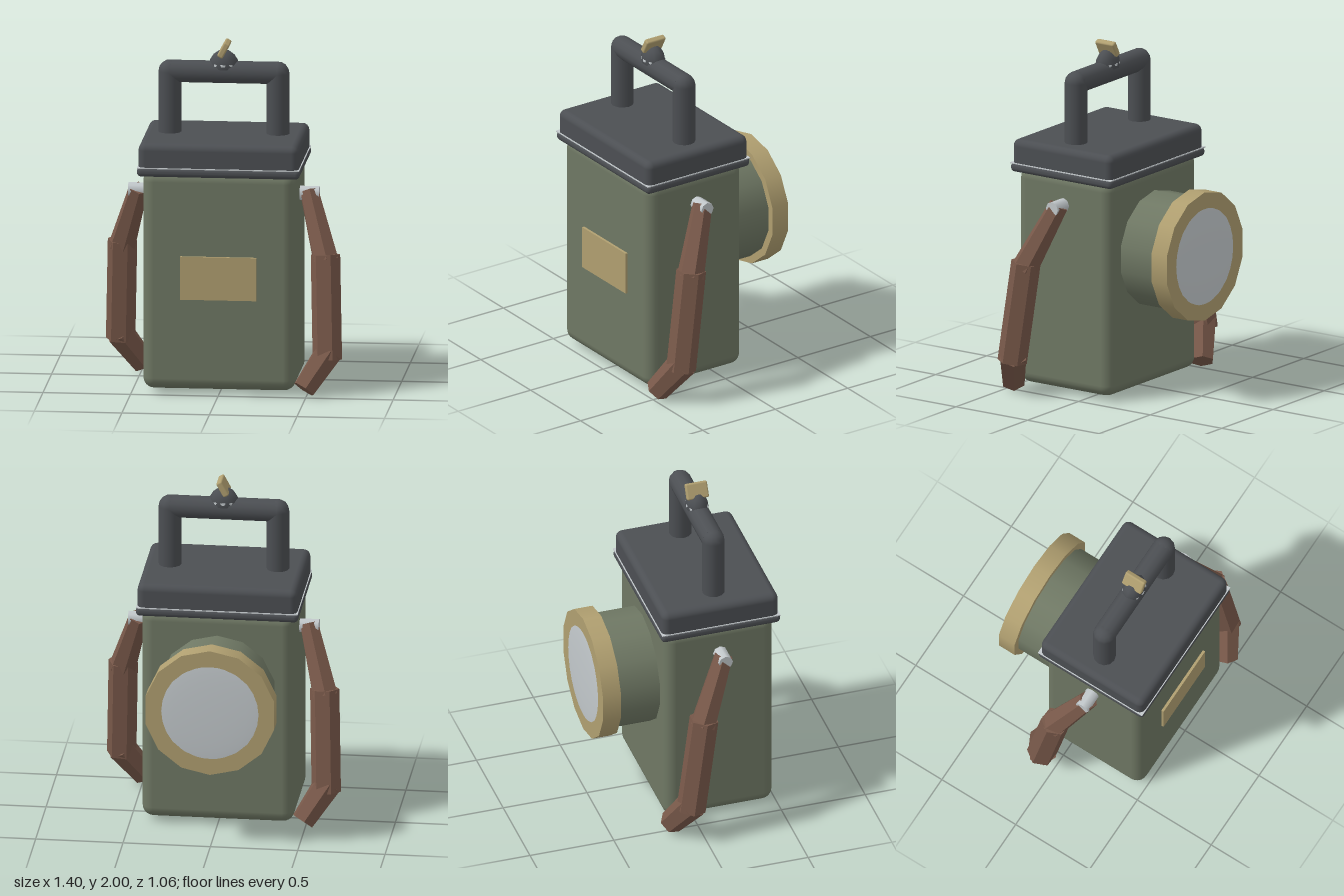
import * as THREE from 'three';
import { RoundedBoxGeometry } from 'three/addons/geometries/RoundedBoxGeometry.js';

const mat = (name, color, extra = {}) => {
  const m = new THREE.MeshStandardMaterial({ color, ...extra });
  m.name = name;
  return m;
};

export function createModel() {
  const sage = mat('sage paint', 0x6f7864);
  const dark = mat('dark metal', 0x4c4f53);
  const brass = mat('brass', 0xb09f70);
  const leather = mat('brown leather', 0x79594a, { flatShading: true });
  const silver = mat('silver', 0xc3c9cc);
  const midZ = 0.155; // centre of the case in depth

  const root = new THREE.Group();
  root.name = 'lantern';

  const add = (name, geometry, material, x = 0, y = 0, z = 0, parent = root) => {
    const mesh = new THREE.Mesh(geometry, material);
    mesh.name = name;
    mesh.position.set(x, y, z);
    parent.add(mesh);
    return mesh;
  };

  // Tapered cylinder between two points, running a little past both
  const rod = (name, a, b, ra, rb, sides, material, parent, extend = 0) => {
    const dir = b.clone().sub(a);
    const len = dir.length();
    const mid = a.clone().add(b).multiplyScalar(0.5);
    const mesh = add(name, new THREE.CylinderGeometry(rb, ra, len + extend * 2, sides), material, mid.x, mid.y, mid.z, parent);
    mesh.quaternion.setFromUnitVectors(new THREE.Vector3(0, 1, 0), dir.normalize());
    return mesh;
  };

  // Case, lid and rim
  add('case', new RoundedBoxGeometry(0.87, 1.27, 0.65, 3, 0.065), sage, 0, 0.665, midZ);
  add('lid', new RoundedBoxGeometry(0.915, 0.19, 0.695, 3, 0.04), dark, 0, 1.367, midZ);
  add('lidRim', new RoundedBoxGeometry(0.93, 0.055, 0.71, 3, 0.025), dark, 0, 1.298, midZ);
  add('rimSeal', new THREE.BoxGeometry(0.925, 0.006, 0.705), silver, 0, 1.322, midZ);
  add('namePlate', new THREE.BoxGeometry(0.435, 0.25, 0.018), brass, 0, 0.685, 0.486);

  // Carrying handle
  const handle = new THREE.Group();
  handle.name = 'handle';
  root.add(handle);
  const barY = 1.817, postX = 0.309, r = 0.065;
  for (const s of [-1, 1]) {
    add('handlePost', new THREE.CylinderGeometry(r, r, barY - 1.465, 12), dark, s * postX, (barY + 1.465) / 2, midZ, handle);
    add('handleCorner', new THREE.SphereGeometry(r, 12, 8), dark, s * postX, barY, midZ, handle);
  }
  add('handleBar', new THREE.CylinderGeometry(r, r, postX * 2, 12), dark, 0, barY, midZ, handle).rotation.z = Math.PI / 2;

  // Switch on the handle
  add('switchCollar', new THREE.CylinderGeometry(0.08, 0.08, 0.012, 10), silver, 0, 1.862, midZ, handle).scale.z = 0.8;
  add('switchDome', new THREE.SphereGeometry(0.085, 10, 8), dark, 0, 1.855, midZ, handle).scale.set(1, 1.08, 0.76);
  add('switchToggle', new RoundedBoxGeometry(0.036, 0.095, 0.13, 2, 0.01), brass, 0.002, 1.953, midZ, handle).rotation.z = -0.5;

  // Lamp head on the back
  const lamp = new THREE.Group();
  lamp.name = 'lampHead';
  lamp.position.y = 0.83;
  root.add(lamp);
  const drum = (name, radius, z0, z1, material) => {
    const g = new THREE.CylinderGeometry(radius, radius, z0 - z1, 14);
    g.rotateX(Math.PI / 2);
    add(name, g, material, 0, 0, (z0 + z1) / 2, lamp);
  };
  drum('lampBarrel', 0.335, -0.14, -0.44, sage);
  drum('lampRing', 0.378, -0.415, -0.523, brass);
  add('lens', new THREE.SphereGeometry(0.33, 28, 16), silver, 0, 0, -0.514, lamp).scale.z = 0.052;

  // Straps: one hangs forward, the other backward
  const path = [
    [0.49, 1.12, 0.155],
    [0.595, 0.77, 0.305],
    [0.612, 0.235, 0.38],
    [0.495, 0.06, 0.46],
  ];
  const radii = [[0.058, 0.08], [0.085, 0.085], [0.085, 0.07]];
  for (const s of [1, -1]) {
    const strap = new THREE.Group();
    strap.name = s > 0 ? 'leftStrap' : 'rightStrap';
    root.add(strap);
    const pts = path.map(([x, y, z]) => new THREE.Vector3(s * x, y, midZ + s * (z - midZ)));
    radii.forEach(([ra, rb], i) => {
      rod('strapSegment', pts[i], pts[i + 1], ra, rb, 6, leather, strap, i === 1 ? 0.03 : 0.015);
    });
    add('strapPin', new THREE.CylinderGeometry(0.042, 0.042, 0.125, 8), silver, s * 0.483, 1.122, midZ, strap).rotation.z = Math.PI / 2;
  }
  return root;
}
